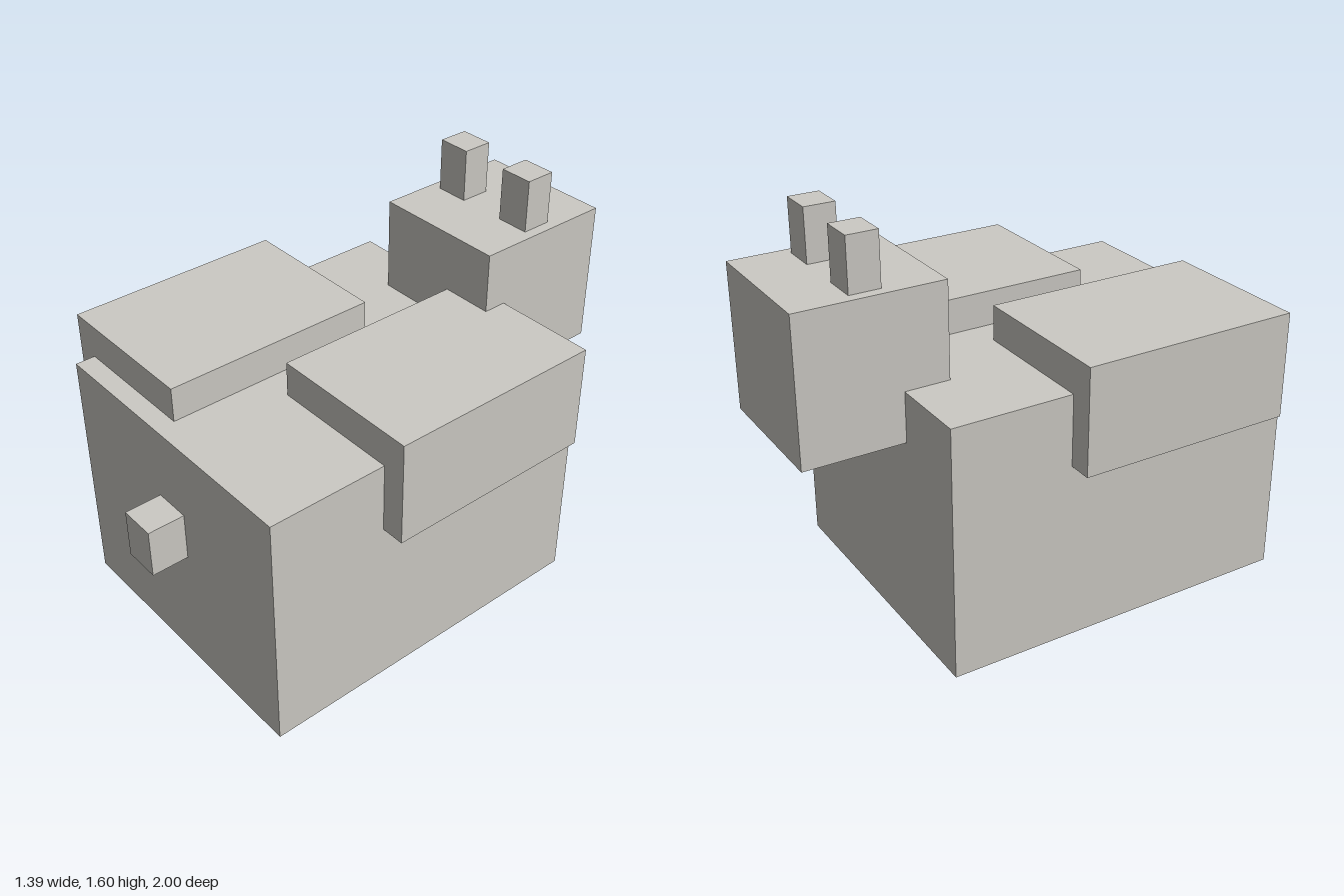
import * as THREE from 'three';

export function createModel() {
  const group = new THREE.Group();
  const lightGrey = new THREE.MeshStandardMaterial({ color: 0xcccac4 });
  lightGrey.name = 'lightGrey';

  // Box spanning the given [min, max] range on each axis
  function block(name, [x0, x1], [y0, y1], [z0, z1]) {
    const mesh = new THREE.Mesh(new THREE.BoxGeometry(x1 - x0, y1 - y0, z1 - z0), lightGrey);
    mesh.position.set((x0 + x1) / 2, (y0 + y1) / 2, (z0 + z1) / 2);
    mesh.name = name;
    group.add(mesh);
  }

  block('body', [-0.6, 0.6], [0, 1.01], [-0.6, 0.85]);
  block('head', [-0.278, 0.278], [0.81, 1.39], [-1, -0.42]);
  block('tail', [-0.075, 0.075], [0.51, 0.71], [0.85, 1]);

  // Staggered slabs wrapping over the top edges of the body
  block('leftSidePatch', [0.065, 0.695], [0.725, 1.15], [-0.515, 0.365]);
  block('rightSidePatch', [-0.695, -0.065], [0.725, 1.15], [-0.115, 0.77]);

  // Ears
  block('leftEar', [0.098, 0.235], [1.39, 1.6], [-0.772, -0.65]);
  block('rightEar', [-0.235, -0.098], [1.39, 1.6], [-0.772, -0.65]);

  return group;
}
